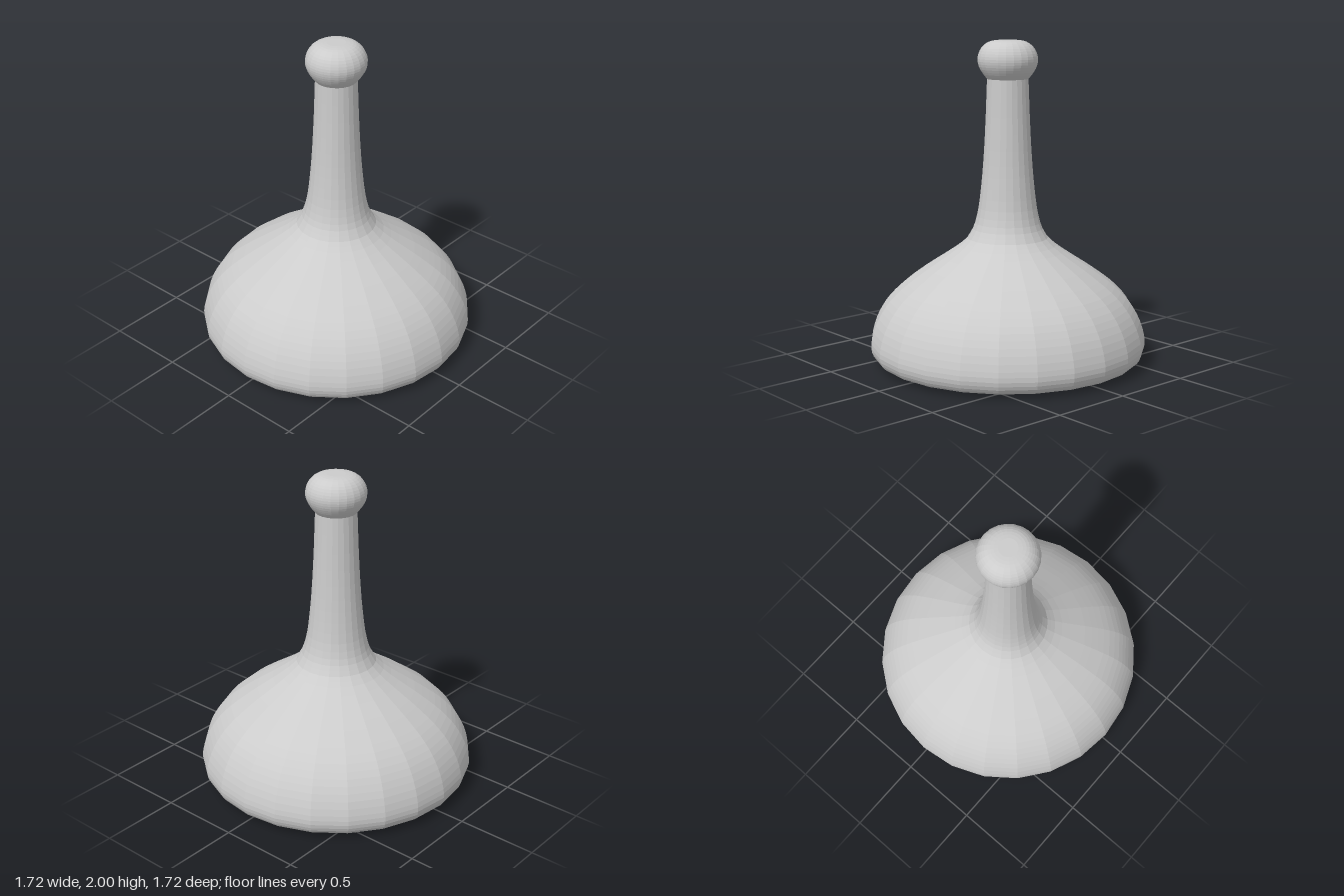
import * as THREE from 'three';

const SIDES = 24;

// Smooth a few [radius, height] points into a lathe profile
function smoothProfile(points, steps) {
  const curve = new THREE.CatmullRomCurve3(points.map(([r, y]) => new THREE.Vector3(r, y, 0)));
  return curve.getPoints(steps).map((p) => new THREE.Vector2(Math.max(0, p.x), Math.min(2, Math.max(0, p.y))));
}

function turnedPart(name, profile, material) {
  // Start at +x so that corners of the polygon lie on both axes
  const mesh = new THREE.Mesh(new THREE.LatheGeometry(profile, SIDES, Math.PI / 2), material);
  mesh.name = name;
  return mesh;
}

export function createModel() {
  const group = new THREE.Group();
  group.name = 'pawn';
  const material = new THREE.MeshStandardMaterial({ color: 0xcccccc, flatShading: true });

  // Almost flat underside
  const underside = [[0, 0], [0.45, 0], [0.7, 0.01], [0.77, 0.018]].map(([r, y]) => new THREE.Vector2(r, y));
  group.add(turnedPart('underside', underside, material));

  // Bulging foot with a rounded lower rim
  const foot = smoothProfile([
    [0.77, 0.018], [0.82, 0.032], [0.846, 0.062], [0.86, 0.11], [0.855, 0.17],
    [0.83, 0.255], [0.79, 0.335], [0.74, 0.405], [0.67, 0.475], [0.59, 0.537],
    [0.5, 0.6], [0.4, 0.665], [0.3, 0.735], [0.25, 0.782],
  ], 26);
  group.add(turnedPart('foot', foot, material));

  // Slender tapering neck
  const neck = smoothProfile([
    [0.25, 0.782], [0.212, 0.85], [0.185, 0.95], [0.165, 1.1],
    [0.15, 1.27], [0.137, 1.5], [0.127, 1.765],
  ], 14);
  group.add(turnedPart('neck', neck, material));

  // Rounded knob, slightly flattened on top
  const knob = smoothProfile([
    [0.127, 1.765], [0.155, 1.8], [0.177, 1.84], [0.185, 1.88],
    [0.178, 1.92], [0.155, 1.96], [0.118, 1.988], [0.07, 1.999], [0, 2],
  ], 20);
  group.add(turnedPart('knob', knob, material));

  return group;
}
